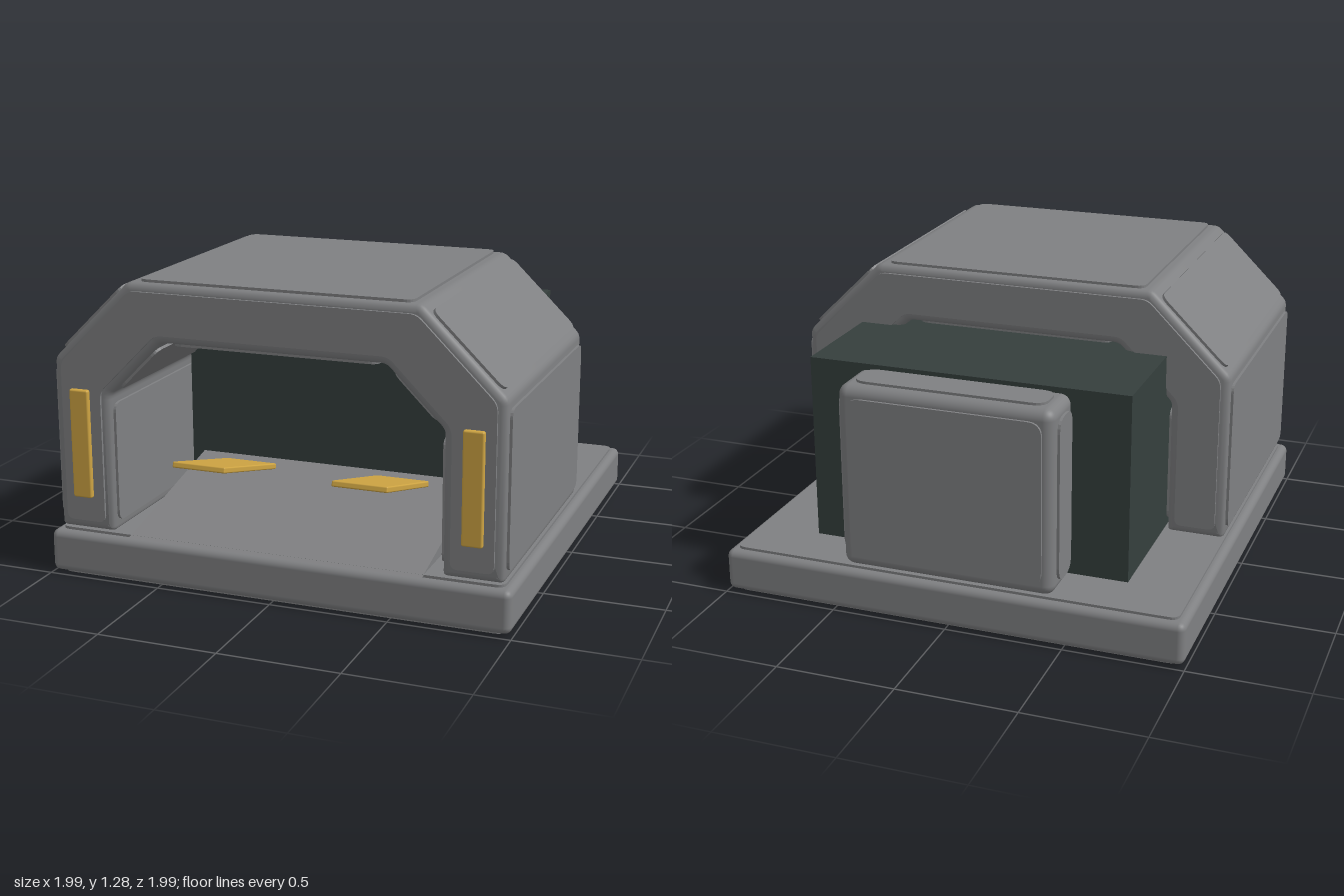
import * as THREE from 'three';
import { toCreasedNormals } from 'three/addons/utils/BufferGeometryUtils.js';
import { RoundedBoxGeometry } from 'three/addons/geometries/RoundedBoxGeometry.js';

const T = 0.011; // raised panel thickness
const V = (x, y, z) => new THREE.Vector3(x, y, z);

// Closed polygon with each corner rounded by radius r
function roundedPoly(points, r) {
  const pts = points.map(([x, y]) => new THREE.Vector2(x, y));
  const shape = new THREE.Shape();
  pts.forEach((p, i) => {
    const prev = pts[(i + pts.length - 1) % pts.length];
    const next = pts[(i + 1) % pts.length];
    const a = p.clone().add(prev.clone().sub(p).setLength(r));
    const b = p.clone().add(next.clone().sub(p).setLength(r));
    if (i === 0) shape.moveTo(a.x, a.y);
    else shape.lineTo(a.x, a.y);
    shape.quadraticCurveTo(p.x, p.y, b.x, b.y);
  });
  shape.closePath();
  return shape;
}

const rect = (w, h) => [[-w / 2, -h / 2], [w / 2, -h / 2], [w / 2, h / 2], [-w / 2, h / 2]];
const mirrored = (half) => [...half, ...half.map(([x, y]) => [-x, y]).reverse()];

export function createModel() {
  const model = new THREE.Group();
  model.name = 'gatehouse';
  const grey = new THREE.MeshStandardMaterial({ color: 0x7f8082 });
  const dark = new THREE.MeshStandardMaterial({ color: 0x353f3d });
  const amber = new THREE.MeshStandardMaterial({ color: 0xcfa543 });
  grey.name = 'grey armour';
  dark.name = 'dark core';
  amber.name = 'amber';

  function add(name, geometry, material, x = 0, y = 0, z = 0, parent = model) {
    const mesh = new THREE.Mesh(geometry, material);
    mesh.name = name;
    mesh.position.set(x, y, z);
    parent.add(mesh);
    return mesh;
  }

  // Raised panel whose local x runs along "along" and whose face points to "normal"
  function panel(name, w, h, r, center, along, normal, parent) {
    const geo = new THREE.ExtrudeGeometry(roundedPoly(rect(w, h), r),
      { depth: T, bevelEnabled: false, curveSegments: 5 });
    const up = V().crossVectors(normal, along);
    geo.applyMatrix4(new THREE.Matrix4().makeBasis(along, up, normal));
    return add(name, geo, grey, center.x, center.y, center.z, parent);
  }

  // Base slab with a raised panel above and below
  const base = new THREE.Group();
  base.name = 'base';
  model.add(base);
  add('baseSlab', new RoundedBoxGeometry(1.99, 0.18, 1.99, 3, 0.03), grey, 0, 0.1, 0, base);
  panel('baseTopPanel', 1.92, 1.92, 0.04, V(0, 0.19, 0), V(1, 0, 0), V(0, 1, 0), base);
  panel('baseBottomPanel', 1.92, 1.92, 0.04, V(0, 0.011, 0), V(1, 0, 0), V(0, -1, 0), base);

  // Arch body: counter-clockwise outline, right half then mirrored
  const arch = new THREE.Group();
  arch.name = 'arch';
  model.add(arch);
  const outline = mirrored([[0.71, 0.205], [0.957, 0.205], [0.957, 0.93], [0.615, 1.265]]);
  const inner = mirrored([[-0.71, 0.205], [-0.71, 0.79], [-0.475, 1.025]]);
  // Reorder the inner edge so the loop closes from the left foot to the right foot
  const loop = [...outline, ...inner.slice(1, 5)];
  const back = -0.215, front = 0.965, bevel = 0.028;
  const archGeo = new THREE.ExtrudeGeometry(roundedPoly(loop, 0.02), {
    depth: front - back - 2 * bevel, bevelThickness: bevel, bevelSize: bevel,
    bevelOffset: -bevel, bevelSegments: 3, curveSegments: 3,
  });
  add('archBody', toCreasedNormals(archGeo, 0.6), grey, 0, 0, back + bevel, arch);

  // Panels along every outer and inner face of the arch, except under the feet
  loop.forEach((p, i) => {
    const q = loop[(i + 1) % loop.length];
    if (p[1] < 0.21 && q[1] < 0.21) return;
    const along = V(q[0] - p[0], q[1] - p[1], 0);
    const length = along.length();
    along.normalize();
    const normal = V(along.y, -along.x, 0);
    const mid = V((p[0] + q[0]) / 2, (p[1] + q[1]) / 2, (front + back) / 2);
    panel('archPanel', length - 0.08, 1.115, 0.04, mid, along, normal, arch);
  });

  // Arch-shaped panels on the front and back faces
  const face = [
    ...mirrored([[0.745, 0.245], [0.92, 0.245], [0.92, 0.915], [0.6, 1.232]]),
    ...mirrored([[-0.745, 0.805], [-0.49, 1.06]]),
  ];
  const faceGeo = new THREE.ExtrudeGeometry(roundedPoly(face, 0.03),
    { depth: T, bevelEnabled: false, curveSegments: 5 });
  add('archFrontPanel', faceGeo, grey, 0, 0, front, arch);
  add('archBackPanel', faceGeo, grey, 0, 0, back - T, arch);

  // Dark core block that closes the passage
  add('core', new THREE.BoxGeometry(1.38, 0.8, 0.98), dark, 0, 0.6, -0.24);

  // Entry ramp rising towards the core
  const wedge = new THREE.Shape([[-0.985, 0.195], [-0.2, 0.195], [-0.2, 0.372]]
    .map(([x, y]) => new THREE.Vector2(x, y)));
  const rampGeo = new THREE.ExtrudeGeometry(wedge, { depth: 1.27, bevelEnabled: false });
  rampGeo.rotateY(Math.PI / 2);
  add('ramp', rampGeo, grey, -0.635, 0, 0);

  // Amber strips on the arch legs and tilted plates over the ramp
  for (const s of [-1, 1]) {
    add(s > 0 ? 'leftLightStrip' : 'rightLightStrip',
      new RoundedBoxGeometry(0.085, 0.46, 0.04, 2, 0.008), amber, s * 0.835, 0.58, 0.975);
    const plate = add(s > 0 ? 'leftGuidePlate' : 'rightGuidePlate',
      new RoundedBoxGeometry(0.235, 0.025, 0.54, 2, 0.006), amber, s * 0.348, 0.438, 0.64);
    plate.rotation.x = -0.26;
  }

  // Rear unit with a panel on every upright face and on top
  const rear = new THREE.Group();
  rear.name = 'rearUnit';
  rear.position.set(0, 0.6, -0.86);
  model.add(rear);
  add('rearBody', new RoundedBoxGeometry(0.91, 0.785, 0.245, 4, 0.045), grey, 0, 0, 0, rear);
  panel('rearTopPanel', 0.81, 0.15, 0.06, V(0, 0.392, 0), V(1, 0, 0), V(0, 1, 0), rear);
  for (const s of [-1, 1]) {
    panel('rearSidePanel', 0.15, 0.69, 0.06, V(s * 0.455, 0, 0), V(0, 0, -s), V(s, 0, 0), rear);
    panel('rearFacePanel', 0.82, 0.69, 0.06, V(0, 0, s * 0.122), V(s, 0, 0), V(0, 0, s), rear);
  }
  return model;
}
